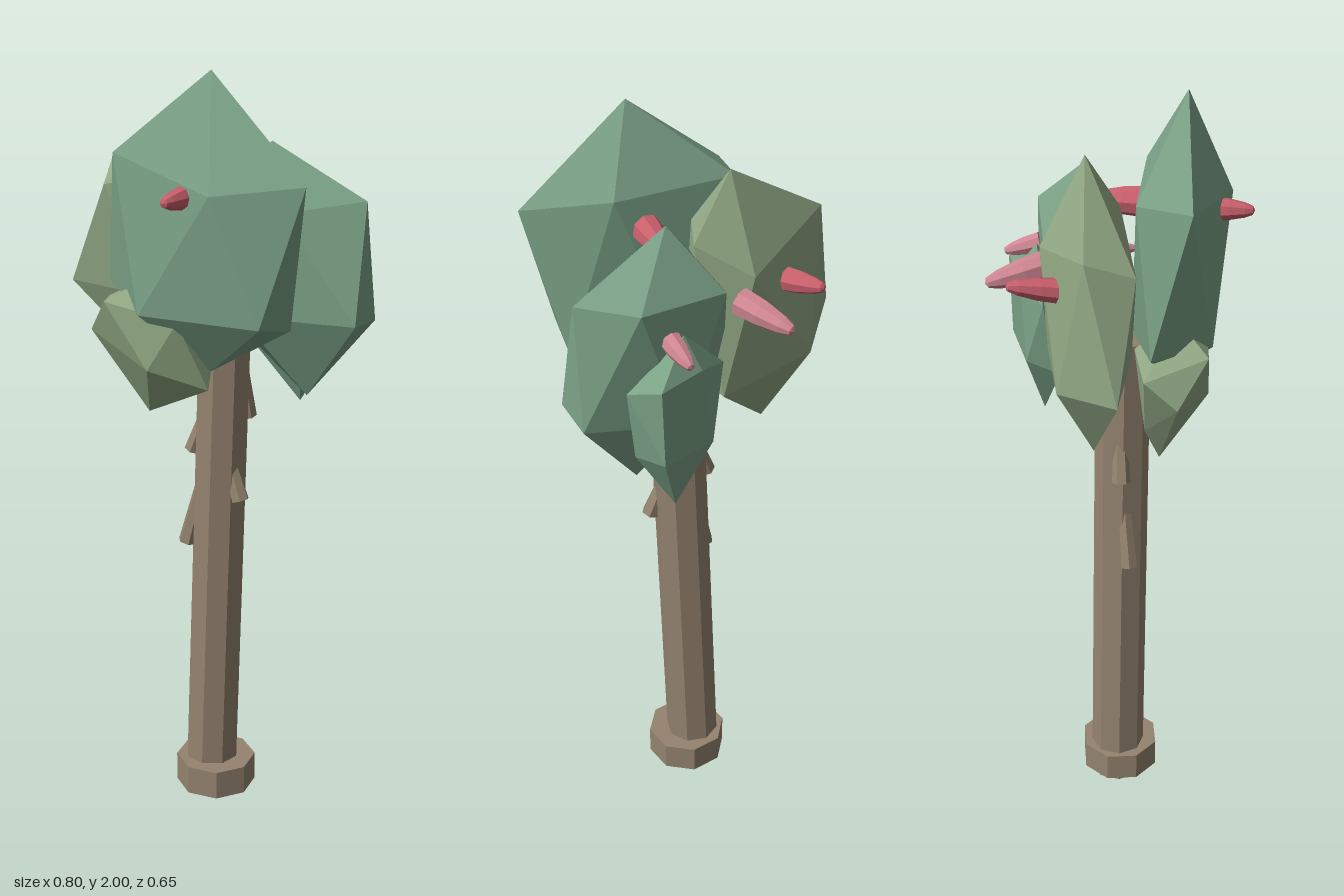
import * as THREE from 'three';
import { ConvexGeometry } from 'three/addons/geometries/ConvexGeometry.js';

const paint = (color) => new THREE.MeshStandardMaterial({ color, flatShading: true });
const bark = paint(0x94836f);
const green = paint(0x7ba287);
const paleGreen = paint(0x91a884);
const red = paint(0xc85f6b);
const pink = paint(0xcf8792);
const vec = (p) => new THREE.Vector3(...p);

export function createModel() {
  const model = new THREE.Group();
  const add = (name, geometry, material) => {
    const mesh = new THREE.Mesh(geometry, material);
    mesh.name = name;
    model.add(mesh);
    return mesh;
  };

  // Lays a geometry that runs from y = 0 to y = 1 between two points
  const span = (name, geometry, material, from, to) => {
    const a = vec(from), d = vec(to).sub(a);
    const mesh = add(name, geometry, material);
    mesh.scale.y = d.length();
    mesh.quaternion.setFromUnitVectors(new THREE.Vector3(0, 1, 0), d.normalize());
    mesh.position.copy(a);
  };
  const rod = (r0, r1, sides) => new THREE.CylinderGeometry(r1, r0, 1, sides).translate(0, 0.5, 0);

  // Leaning trunk with a collar at the foot
  span('trunk', rod(0.073, 0.07, 8), bark, [0, 0.004, -0.008], [0.045, 1.37, 0.01]);
  const collar = add('baseCollar',
    new THREE.CylinderGeometry(0.108, 0.108, 0.08, 8).rotateY(Math.PI / 8), bark);
  collar.position.set(0.018, 0.06, 0);

  // Cut branch stubs hanging from the trunk
  [
    [[-0.02, 0.9, 0.01], [-0.057, 0.74, 0.02]],
    [[0.07, 0.98, 0.03], [0.102, 0.89, 0.042]],
    [[-0.01, 1.1, 0.0], [-0.047, 0.995, 0.0]],
    [[0.07, 1.25, -0.03], [0.085, 1.09, -0.05]],
  ].forEach(([from, to]) => span('branchStub', rod(0.018, 0.024, 6), bark, from, to));

  // Twenty-sided leaf clumps: tip, ring of five, ring of five, foot
  const clump = (name, material, points) =>
    add(name, new ConvexGeometry(points.map(vec)), material);

  clump('frontLeaves', green, [
    [0.07, 2, 0.165],
    [0.33, 1.76, 0.235], [0.11, 1.73, 0.283], [-0.19, 1.79, 0.155], [-0.15, 1.8, 0.027], [0.165, 1.8, 0.075],
    [0.265, 1.39, 0.14], [0.23, 1.42, 0.265], [-0.1, 1.41, 0.22], [-0.25, 1.45, 0.057], [0.02, 1.4, 0.03],
    [0.06, 1.265, 0.145],
  ]);
  clump('backRightLeaves', paleGreen, [
    [-0.05, 1.89, -0.085],
    [-0.31, 1.73, -0.1], [-0.045, 1.66, -0.195], [0.07, 1.74, -0.11], [0, 1.74, 0], [-0.28, 1.68, 0.02],
    [-0.4, 1.41, -0.03], [-0.245, 1.37, -0.165], [0.03, 1.35, -0.18], [0.065, 1.4, -0.05], [-0.13, 1.4, 0.02],
    [-0.165, 1.165, -0.075],
  ]);
  clump('backLeftLeaves', green, [
    [0.13, 1.8, -0.085],
    [0.38, 1.67, -0.08], [0.27, 1.66, -0.193], [0.03, 1.64, -0.185], [0, 1.64, -0.06], [0.19, 1.64, 0],
    [0.395, 1.36, -0.13], [0.38, 1.37, -0.01], [0.16, 1.33, -0.2], [0, 1.33, -0.13], [0.08, 1.37, 0.005],
    [0.23, 1.15, -0.095],
  ]);
  clump('lowBackLeaves', green, [
    [0.16, 1.58, -0.2],
    [0.27, 1.5, -0.272], [0.305, 1.46, -0.178], [0.14, 1.5, -0.245], [0.04, 1.46, -0.19], [0.17, 1.45, -0.12],
    [0.26, 1.29, -0.268], [0.28, 1.27, -0.17], [0.1, 1.28, -0.235], [0.06, 1.26, -0.15], [0.2, 1.25, -0.12],
    [0.18, 1.1, -0.19],
  ]);
  clump('lowFrontLeaves', paleGreen, [
    [-0.1, 1.49, 0.13],
    [0, 1.4, 0.215], [-0.2, 1.43, 0.2], [-0.26, 1.4, 0.04], [-0.08, 1.4, 0.03], [0.06, 1.36, 0.1],
    [-0.08, 1.27, 0.215], [-0.275, 1.33, 0.12], [-0.17, 1.22, 0.05], [0.0, 1.23, 0.05], [0.06, 1.22, 0.16],
    [-0.13, 1.12, 0.09],
  ]);

  // Blunt tapered buds poking out of the leaves
  const bud = (r) => new THREE.LatheGeometry(
    [[0, 0], [1, 0], [0.9, 0.4], [0.62, 0.78], [0.36, 0.96], [0, 1]]
      .map(([x, y]) => new THREE.Vector2(x * r, y)), 8);
  [
    [red, 0.03, [0.035, 1.715, 0.22], [0.015, 1.715, 0.325]],
    [red, 0.038, [0.085, 1.715, 0.065], [0.115, 1.715, -0.065]],
    [red, 0.033, [0.14, 1.475, 0.09], [0.165, 1.475, -0.03]],
    [pink, 0.025, [0.165, 1.55, -0.06], [0.185, 1.55, 0.05]],
    [red, 0.031, [-0.163, 1.6, -0.15], [-0.185, 1.625, -0.277]],
    [pink, 0.036, [-0.015, 1.6, -0.18], [-0.06, 1.575, -0.327]],
    [pink, 0.027, [0.19, 1.57, -0.19], [0.195, 1.545, -0.282]],
  ].forEach(([material, r, from, to]) => span('bud', bud(r), material, from, to));

  return model;
}
